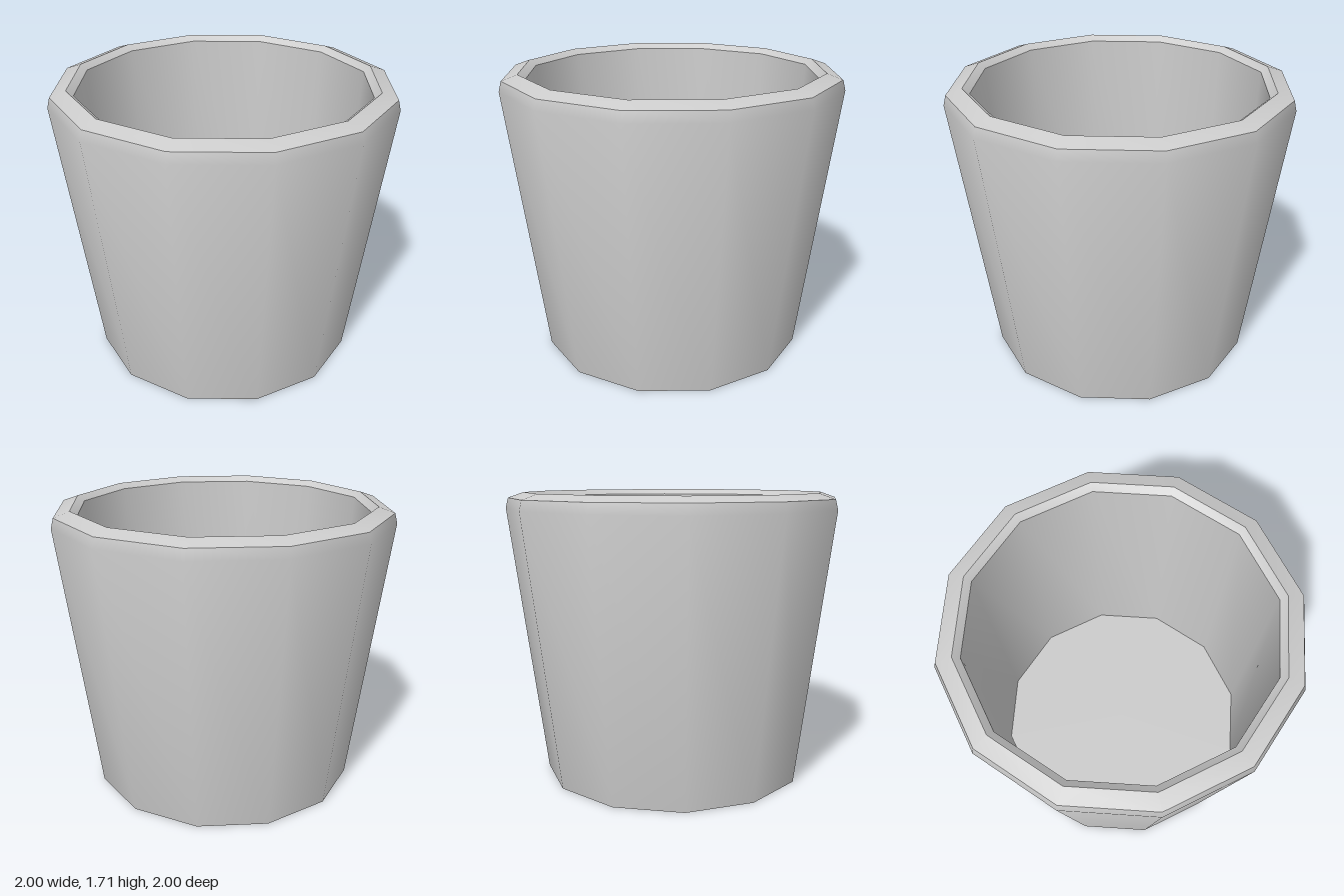
import * as THREE from 'three';
import { toCreasedNormals } from 'three/addons/utils/BufferGeometryUtils.js';

const SIDES = 12;
const FLOOR_Y = 0.18;
const FLOOR_RADIUS = 0.785;

export function createModel() {
  const pot = new THREE.Group();
  pot.name = 'plantPot';
  const material = new THREE.MeshStandardMaterial({ color: 0xcccccc, side: THREE.DoubleSide });

  // Tapered wall: up the outside, over the bevelled rim, down the inside to the foot
  const profile = [
    [0.79, 0],
    [1.0, 1.615],
    [0.985, 1.674],
    [0.893, 1.706],
    [0.853, 1.674],
    [FLOOR_RADIUS, FLOOR_Y],
    [0.79, 0],
  ].map(([r, y]) => new THREE.Vector2(r, y));
  const wall = new THREE.Mesh(
    toCreasedNormals(new THREE.LatheGeometry(profile, SIDES), 0.7),
    material
  );
  wall.name = 'wall';
  pot.add(wall);

  // Floor raised above the foot, leaving a recess underneath
  const floor = new THREE.Mesh(new THREE.CircleGeometry(FLOOR_RADIUS, SIDES), material);
  floor.name = 'floor';
  floor.rotation.x = -Math.PI / 2;
  floor.position.y = FLOOR_Y;
  pot.add(floor);

  return pot;
}
